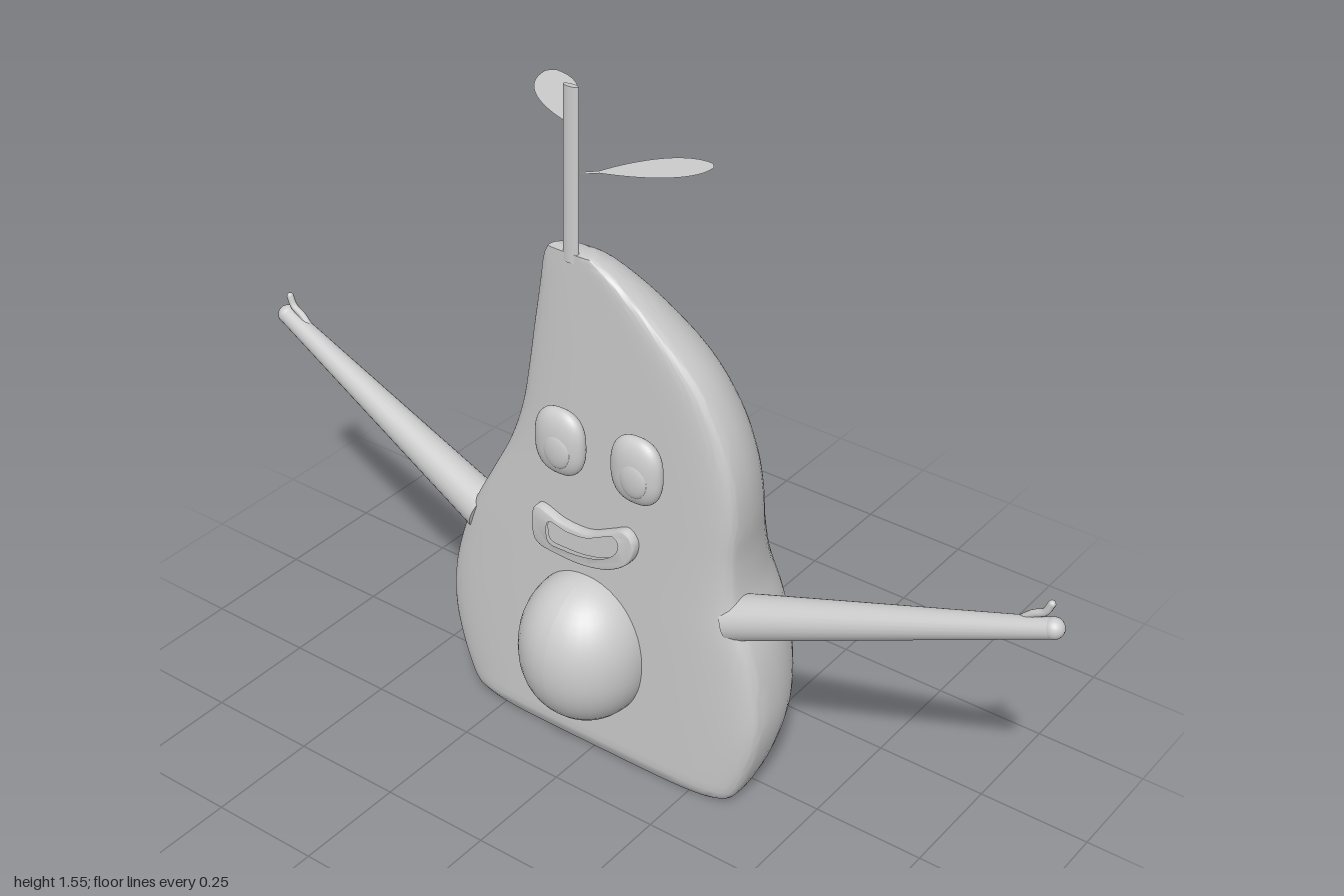
import * as THREE from 'three';
import { ParametricGeometry } from 'three/addons/geometries/ParametricGeometry.js';
import { toCreasedNormals } from 'three/addons/utils/BufferGeometryUtils.js';

const grey = new THREE.MeshStandardMaterial({ color: 0xcccccc });
const greyThin = new THREE.MeshStandardMaterial({ color: 0xcccccc, side: THREE.DoubleSide });
const FACE = -0.132; // x of the flat face

function add(parent, name, geometry, material = grey) {
  const mesh = new THREE.Mesh(geometry, material);
  mesh.name = name;
  parent.add(mesh);
  return mesh;
}

// Half-pear body: D-shaped sections, flat towards -x
function bodyGeometry() {
  // y, z min, z max, x of the rounded back
  const rows = [
    [0, -0.325, 0.325, 0.2], [0.02, -0.345, 0.35, 0.22], [0.1, -0.38, 0.385, 0.25],
    [0.2, -0.403, 0.408, 0.27], [0.3, -0.4, 0.405, 0.272], [0.4, -0.375, 0.385, 0.263],
    [0.5, -0.335, 0.348, 0.243], [0.6, -0.28, 0.339, 0.21], [0.7, -0.225, 0.345, 0.17],
    [0.8, -0.187, 0.338, 0.135], [0.9, -0.165, 0.308, 0.103], [1.0, -0.146, 0.25, 0.063],
    [1.1, -0.125, 0.15, 0.008], [1.17, -0.11, 0.06, -0.043], [1.2, -0.095, 0.01, -0.085],
  ];
  const heights = new THREE.CatmullRomCurve3(rows.map(r => new THREE.Vector3(r[0], 0, 0)), false, 'catmullrom', 0.5);
  const spans = new THREE.CatmullRomCurve3(rows.map(r => new THREE.Vector3(r[1], r[2], r[3])), false, 'catmullrom', 0.5);
  const steps = 58;
  const section = (u, v, target) => {
    const t = THREE.MathUtils.clamp((u * steps - 1) / (steps - 2), 0, 1);
    const y = heights.getPoint(t).x;
    const { x: z0, y: z1, z: back } = spans.getPoint(t);
    const front = FACE + 0.015 * Math.max(0, 1 - y / 0.025);
    const cx = front + 0.2 * (back - front);
    const a = v * Math.PI * 2, c = Math.cos(a), s = Math.sin(a);
    const e = c < 0 ? 0.42 : 1; // squarer towards the face
    const px = Math.sign(c) * Math.abs(c) ** e * (c < 0 ? cx - front : back - cx);
    const pz = Math.sign(s) * Math.abs(s) ** e * (z1 - z0) / 2;
    const k = u < 0.5 / steps || u > 1 - 0.5 / steps ? 0 : 1; // close both ends
    target.set(cx + px * k, Math.max(0, y), (z0 + z1) / 2 + pz * k);
  };
  return toCreasedNormals(new ParametricGeometry(section, steps, 72), 0.8);
}

// Tapered rod between two points
function rod(a, b, ra, rb, sides = 24) {
  const dir = b.clone().sub(a);
  const g = new THREE.CylinderGeometry(rb, ra, dir.length(), sides);
  g.applyQuaternion(new THREE.Quaternion().setFromUnitVectors(new THREE.Vector3(0, 1, 0), dir.normalize()));
  return g.translate(...a.clone().add(b).multiplyScalar(0.5).toArray());
}

// Sphere squashed into a pebble, squareness below 1 flattens the sides
function pebble(rx, ry, rz, squareness = 1) {
  const g = new THREE.SphereGeometry(1, 36, 24), p = g.attributes.position;
  const f = v => Math.sign(v) * Math.abs(v) ** squareness;
  for (let i = 0; i < p.count; i++) p.setXYZ(i, p.getX(i) * rx, f(p.getY(i)) * ry, f(p.getZ(i)) * rz);
  g.computeVertexNormals();
  return g;
}

function makeArm(side) {
  const arm = new THREE.Group();
  arm.name = side > 0 ? 'armFront' : 'armBack';
  const at = (x, y, z) => new THREE.Vector3(x, y, z * side);
  const hand = at(0.02, 0.677, 0.978);
  add(arm, 'limb', rod(at(-0.075, 0.465, 0.32), hand, 0.05, 0.021));
  add(arm, 'handTip', new THREE.SphereGeometry(0.022, 20, 14)).position.copy(hand);
  const bend = new THREE.CatmullRomCurve3([
    at(0.018, 0.67, 0.91), at(0.02, 0.69, 0.932), at(0.021, 0.705, 0.957), at(0.022, 0.727, 0.968)]);
  add(arm, 'thumb', new THREE.TubeGeometry(bend, 16, 0.008, 10));
  add(arm, 'thumbTip', new THREE.SphereGeometry(0.008, 10, 8)).position.copy(at(0.022, 0.727, 0.968));
  return arm;
}

function makeEye(y, z) {
  const eye = new THREE.Group();
  eye.name = 'eye';
  add(eye, 'eyeball', pebble(0.028, 0.076, 0.061, 0.8));
  const pupil = add(eye, 'pupil', pebble(0.012, 0.042, 0.034));
  pupil.position.set(-0.02, -0.01, 0.006);
  eye.position.set(-0.157, y, z);
  return eye;
}

// Open smile: bevelled lip frame around a recessed inside
function makeMouth() {
  const mouth = new THREE.Group();
  mouth.name = 'mouth';
  const outline = [[-0.125, 0.595], [-0.06, 0.578], [0.01, 0.578], [0.07, 0.605], [0.11, 0.622],
    [0.13, 0.6], [0.12, 0.555], [0.07, 0.515], [0, 0.497], [-0.07, 0.497], [-0.125, 0.508], [-0.135, 0.55]];
  const points = k => new THREE.CatmullRomCurve3(outline.map(([z, y]) =>
    new THREE.Vector3(z * (0.25 + 0.75 * k), 0.552 + z * 0.15 + (y - 0.552 - z * 0.15) * k, 0)), true)
    .getPoints(60).slice(0, -1).map(p => new THREE.Vector2(p.x, p.y));
  const lip = new THREE.Shape(points(0.95));
  lip.holes.push(new THREE.Path(points(0.6)));
  const g = new THREE.ExtrudeGeometry(lip, {
    depth: 0.014, bevelThickness: 0.006, bevelSize: 0.004, bevelSegments: 3 });
  add(mouth, 'lips', toCreasedNormals(g.rotateY(-Math.PI / 2).translate(FACE, 0, 0), 0.7));
  const inside = new THREE.ExtrudeGeometry(new THREE.Shape(points(0.65)), { depth: 0.008, bevelEnabled: false });
  add(mouth, 'mouthInside', inside.rotateY(-Math.PI / 2).translate(FACE, 0, 0));
  return mouth;
}

// Flat leaf on a thin stalk, pointing along angle
function makeLeaf(y, z, angle, length) {
  const s = new THREE.Shape();
  s.moveTo(0, -0.004);
  s.lineTo(0.05, -0.005);
  s.bezierCurveTo(0.12, -0.04, 0.22, -0.065, length, -0.012);
  s.quadraticCurveTo(length + 0.006, 0, length, 0.012);
  s.bezierCurveTo(0.22, 0.065, 0.12, 0.04, 0.05, 0.005);
  s.lineTo(0, 0.004);
  const leaf = new THREE.Mesh(new THREE.ShapeGeometry(s, 16).rotateX(-Math.PI / 2), greyThin);
  leaf.name = 'leaf';
  leaf.position.set(-0.122, y, z);
  leaf.rotation.y = angle;
  return leaf;
}

export function createModel() {
  const model = new THREE.Group();
  model.name = 'halfFruitCharacter';
  add(model, 'body', bodyGeometry());

  // Round stone set in the belly
  add(model, 'belly', pebble(0.148, 0.172, 0.143, 0.95)).position.set(FACE, 0.287, -0.005);

  model.add(makeEye(0.785, -0.048), makeEye(0.79, 0.143), makeMouth());
  for (const side of [1, -1]) model.add(makeArm(side));

  // Flattened stem with two leaves
  const stem = add(model, 'stem', rod(new THREE.Vector3(0, 0, 0), new THREE.Vector3(0.016, 0.365, 0), 0.0185, 0.0175));
  stem.scale.x = 0.45;
  stem.position.set(-0.126, 1.18, -0.04);
  model.add(makeLeaf(1.453, -0.045, 0.79, 0.278), makeLeaf(1.367, -0.035, -0.79, 0.265));
  return model;
}
